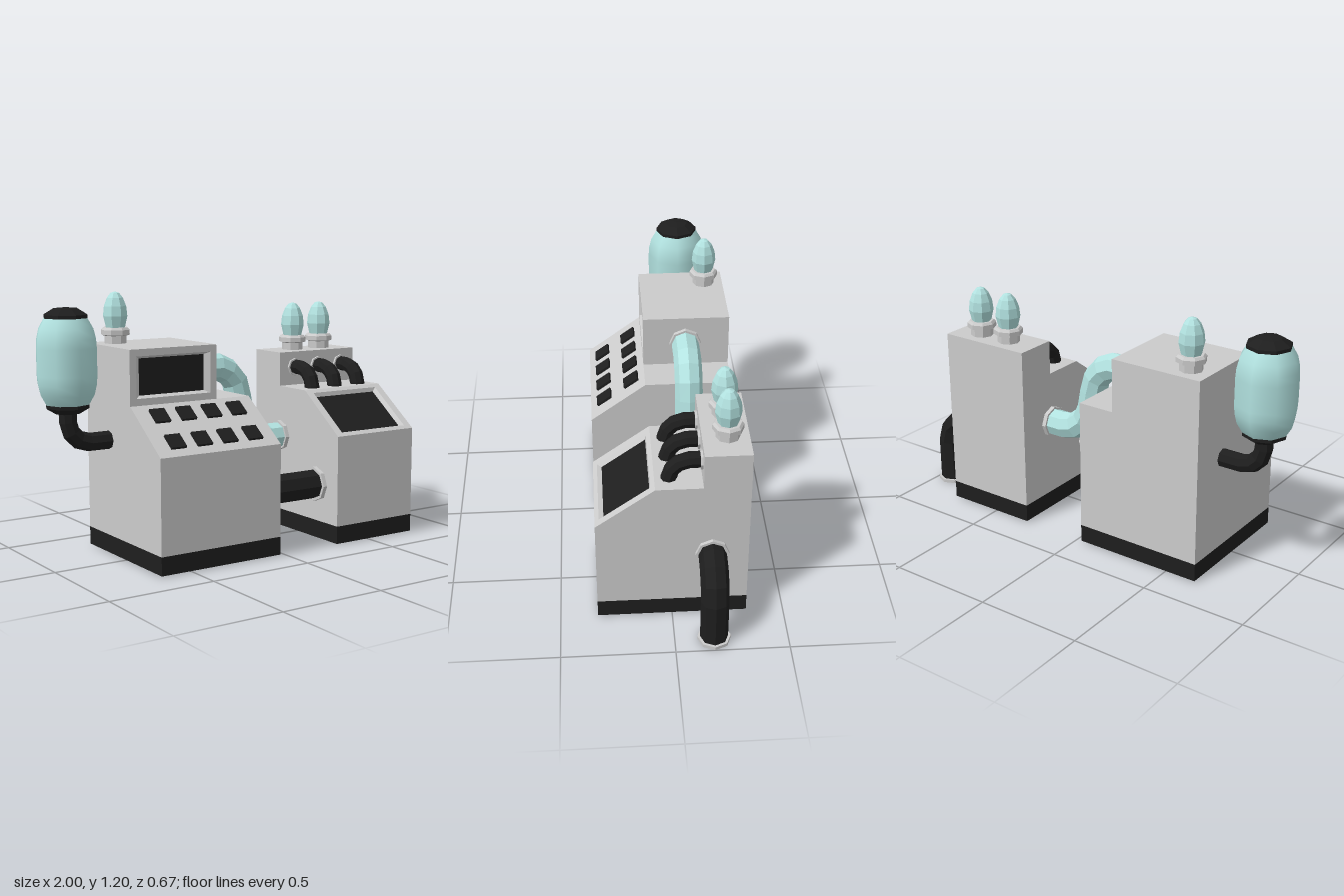
import * as THREE from 'three';

const mat = (color, flatShading = true) =>
  new THREE.MeshStandardMaterial({ color, flatShading, side: THREE.DoubleSide });
const GREY = mat(0xcccccc), BLACK = mat(0x1e1e1e), AQUA = mat(0xb2e2e0), AQUA_SMOOTH = mat(0xb2e2e0, false);
const V = (x, y, z) => new THREE.Vector3(x, y, z);

export function createModel() {
  const model = new THREE.Group();

  const add = (name, geometry, material, parent = model) => {
    const mesh = new THREE.Mesh(geometry, material);
    mesh.name = name;
    parent.add(mesh);
    return mesh;
  };

  // Side profile of [z, y] points extruded from x0 to x1, leaving out faces picked by their normal
  const shell = (name, profile, x0, x1, material, isOpen) => {
    const shape = new THREE.Shape(profile.map(([z, y]) => new THREE.Vector2(z, y)));
    const solid = new THREE.ExtrudeGeometry(shape, { depth: x1 - x0, bevelEnabled: false });
    solid.rotateY(-Math.PI / 2).translate(x1, 0, 0);
    const p = solid.attributes.position, n = solid.attributes.normal, kept = [];
    for (let i = 0; i < p.count; i += 3) {
      if (isOpen(V(n.getX(i), n.getY(i), n.getZ(i)))) continue;
      for (let k = i; k < i + 3; k++) kept.push(p.getX(k), p.getY(k), p.getZ(k));
    }
    const g = new THREE.BufferGeometry();
    g.setAttribute('position', new THREE.Float32BufferAttribute(kept, 3));
    g.computeVertexNormals();
    return add(name, g, material);
  };

  // Octagonal pipe with one ring of vertices at each path point
  const pipe = (name, points, radius, material) => {
    const curve = new THREE.CatmullRomCurve3(points);
    curve.getUtoTmapping = (u) => u;
    return add(name, new THREE.TubeGeometry(curve, points.length - 1, radius, 8), material);
  };

  const lathe = (profile) => new THREE.LatheGeometry(profile.map(([r, y]) => new THREE.Vector2(r, y)), 8);

  // Octagonal ring around a pipe end
  const flange = (name, axis, x, y, z, inner, outer, t = 0.02) => {
    const h = t / 2;
    const ring = add(name, lathe([[inner, -h], [outer, -h], [outer, h], [inner, h]]), GREY);
    if (axis === 'x') ring.rotation.z = Math.PI / 2;
    if (axis === 'z') ring.rotation.x = Math.PI / 2;
    ring.position.set(x, y, z);
  };

  // Wall panel with a sunken, bevelled screen
  const screenPanel = (name, w, h, hole, inner, depth, position, tilt = 0) => {
    const group = new THREE.Group();
    group.name = name;
    const rect = ([a, b]) => [[-a, -b], [a, -b], [a, b], [-a, b]].map(([x, y]) => new THREE.Vector2(x / 2, y / 2));
    const face = new THREE.Shape(rect([w, h]));
    face.holes.push(new THREE.Path(rect(hole)));
    add('panelFace', new THREE.ShapeGeometry(face), GREY, group);
    const o = rect(hole), s = rect(inner), pos = [], idx = [];
    for (let i = 0; i < 4; i++) {
      pos.push(o[i].x, o[i].y, 0, s[i].x, s[i].y, -depth);
      const a = i * 2, b = ((i + 1) % 4) * 2;
      idx.push(a, b, b + 1, a, b + 1, a + 1);
    }
    let bevel = new THREE.BufferGeometry();
    bevel.setAttribute('position', new THREE.Float32BufferAttribute(pos, 3));
    bevel.setIndex(idx);
    bevel = bevel.toNonIndexed();
    bevel.computeVertexNormals();
    add('screenBevel', bevel, GREY, group);
    add('screen', new THREE.PlaneGeometry(...inner), BLACK, group).position.z = -depth;
    group.position.copy(position);
    group.rotation.x = tilt;
    model.add(group);
  };

  // Shared cabinet measurements
  const F = 0.333, S = 0.075, B = -0.333, y0 = 0.09, lip = 0.52, deck = 0.71;
  const tilt = -Math.atan2(F - S, deck - lip);
  const slope = Math.hypot(F - S, deck - lip);
  const down = (n) => n.y < -0.9;
  const slanted = (n) => n.y > 0.3 && n.z > 0.3;

  // Cabinets, hollow and open underneath, on dark plinths
  shell('wideCabinet', [[B, y0], [F, y0], [F, lip], [S, deck], [B, deck]], -0.657, -0.03, GREY, down);
  shell('wideCabinetHead', [[B, deck], [S, deck], [S, 0.96], [B, 0.96]], -0.657, -0.208, GREY,
    (n) => down(n) || n.z > 0.9);
  shell('narrowCabinet', [[B, y0], [F, y0], [F, lip], [S, deck], [-0.13, deck], [-0.13, 0.875], [B, 0.875]],
    0.3, 0.76, GREY, (n) => down(n) || slanted(n));
  for (const [name, a, b] of [['widePlinth', -0.657, -0.03], ['narrowPlinth', 0.3, 0.76]])
    shell(name, [[B, 0.006], [F, 0.006], [F, y0], [B, y0]], a, b, BLACK, (n) => Math.abs(n.y) > 0.9);

  // Screens
  screenPanel('headScreen', 0.449, 0.25, [0.385, 0.187], [0.337, 0.165], 0.02, V(-0.4325, 0.835, S));
  screenPanel('deskScreen', 0.46, slope, [0.385, 0.275], [0.352, 0.245], 0.015,
    V(0.53, (lip + deck) / 2, (F + S) / 2), tilt);

  // Buttons on the sloping desk
  const buttons = new THREE.Group();
  buttons.name = 'buttons';
  buttons.position.set(-0.344, (lip + deck) / 2, (F + S) / 2);
  buttons.rotation.x = tilt;
  for (const y of [-0.077, 0.084])
    for (let i = 0; i < 4; i++)
      add('button', new THREE.BoxGeometry(0.075, 0.08, 0.024), BLACK, buttons)
        .position.set((i - 1.5) * 0.134, y, 0);
  model.add(buttons);

  // Bulb lamps on stepped collars
  for (const [x, y] of [[-0.555, 0.96], [0.455, 0.875], [0.62, 0.875]]) {
    const lamp = new THREE.Group();
    lamp.name = 'lamp';
    lamp.position.set(x, y, -0.24);
    add('lampCollar', lathe([[0.053, 0], [0.053, 0.035], [0.068, 0.04], [0.068, 0.062], [0.058, 0.073], [0, 0.073]]), GREY, lamp);
    add('lampBulb', lathe([[0.045, 0.07], [0.058, 0.125], [0.053, 0.17], [0.038, 0.208], [0.02, 0.23], [0, 0.236]]), AQUA, lamp);
    model.add(lamp);
  }

  // Curved pipe joining the two cabinets
  const sPath = [[-0.21, 0.83], [-0.075, 0.83], [-0.02, 0.805], [0.025, 0.755], [0.045, 0.68],
    [0.06, 0.6], [0.095, 0.525], [0.15, 0.48], [0.21, 0.465], [0.3, 0.465]];
  pipe('curvedPipe', sPath.map(([x, y]) => V(x, y, -0.125)), 0.065, AQUA);
  flange('curvedPipeTopFlange', 'x', -0.198, 0.83, -0.125, 0.06, 0.075);
  flange('curvedPipeLowFlange', 'x', 0.29, 0.465, -0.125, 0.06, 0.075);

  // Straight pipe joining the two cabinets
  pipe('straightPipe', [V(-0.03, 0.27, 0.17), V(0.3, 0.27, 0.17)], 0.07, BLACK);
  for (const x of [-0.02, 0.29]) flange('straightPipeFlange', 'x', x, 0.27, 0.17, 0.065, 0.084);

  // Drain pipe down to the floor
  const drain = [[0.76, 0.355], [0.8, 0.355], [0.86, 0.335], [0.905, 0.29], [0.925, 0.22], [0.925, 0.003]];
  pipe('drainPipe', drain.map(([x, y]) => V(x, y, -0.173)), 0.062, BLACK);
  flange('drainWallFlange', 'x', 0.768, 0.355, -0.173, 0.058, 0.074, 0.016);
  flange('drainFloorFlange', 'y', 0.925, 0.008, -0.173, 0.058, 0.074, 0.016);

  // Three small pipes bending into the desk
  for (const x of [0.39, 0.53, 0.675]) {
    const path = [[0.8, -0.13], [0.8, -0.075], [0.785, -0.03], [0.755, 0], [0.715, 0.012], [0.68, 0.014]];
    pipe('smallPipe', path.map(([y, z]) => V(x, y, z)), 0.036, BLACK);
    flange('smallPipeFlange', 'z', x, 0.8, -0.125, 0.034, 0.044, 0.01);
  }

  // Tank with dark end caps and its feed pipe
  const tank = new THREE.Group();
  tank.name = 'tank';
  tank.position.set(-0.86, 0.905, -0.127);
  add('tankBody', lathe([[0.1, -0.19], [0.126, -0.145], [0.137, -0.1], [0.14, -0.06],
    [0.14, 0.06], [0.137, 0.1], [0.126, 0.145], [0.1, 0.19]]), AQUA_SMOOTH, tank);
  for (const s of [1, -1])
    add('tankCap', lathe([[0.1, 0.185], [0.1, 0.205], [0.055, 0.232], [0, 0.237]]), BLACK, tank)
      .rotation.x = s > 0 ? 0 : Math.PI;
  model.add(tank);
  const feed = [[-0.86, 0.69], [-0.86, 0.635], [-0.845, 0.585], [-0.81, 0.55], [-0.76, 0.535], [-0.655, 0.535]];
  pipe('tankFeedPipe', feed.map(([x, y]) => V(x, y, -0.127)), 0.042, BLACK);

  return model;
}
